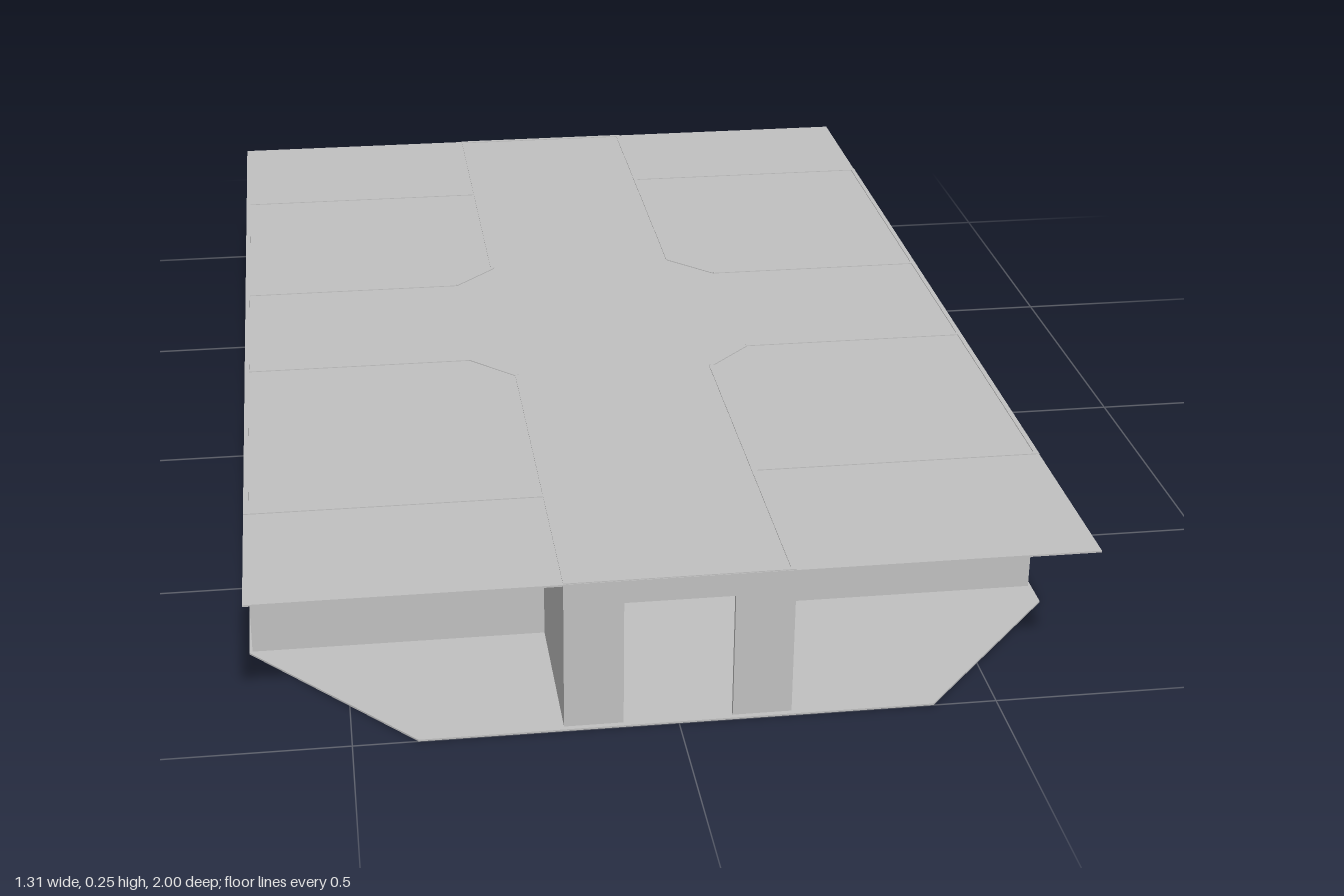
import * as THREE from 'three';

const HEIGHT = 0.254, THICK = 0.008;
const concrete = new THREE.MeshStandardMaterial({ color: 0xc0c0c0 });

function add(parent, name, geometry, x = 0, y = 0, z = 0) {
  const mesh = new THREE.Mesh(geometry, concrete);
  mesh.name = name;
  mesh.position.set(x, y, z);
  parent.add(mesh);
  return mesh;
}

// Upright wall between two plan points; doors are [start, end, height] along it
function wall(parent, name, [x1, z1], [x2, z2], doors = []) {
  const length = Math.hypot(x2 - x1, z2 - z1);
  const s = new THREE.Shape();
  s.moveTo(0, 0);
  for (const [a, b, h] of doors) {
    s.lineTo(a, 0);
    s.lineTo(a, h);
    s.lineTo(b, h);
    s.lineTo(b, 0);
  }
  s.lineTo(length, 0);
  s.lineTo(length, HEIGHT);
  s.lineTo(0, HEIGHT);
  const geometry = new THREE.ExtrudeGeometry(s, { depth: THICK, bevelEnabled: false });
  geometry.translate(0, 0, -THICK / 2);
  const mesh = add(parent, name, geometry, x1, 0, z1);
  mesh.rotation.y = -Math.atan2(z2 - z1, x2 - x1);
}

// One side of the plan; the other side is the same turned half a circle
function halfPlan() {
  const g = new THREE.Group();
  const out = 0.646, hall = 0.173, frontZ = 0.66, backZ = -0.708, cut = 0.25;

  // Outer wall with two doorways
  wall(g, 'outerWall', [out, frontZ + THICK / 2], [out, backZ - THICK / 2],
    [[0.159, 0.291, 0.175], [1.034, 1.166, 0.175]]);

  // End walls of the two rooms
  wall(g, 'roomFrontWall', [hall, frontZ], [out, frontZ]);
  wall(g, 'roomBackWall', [hall, backZ], [out, backZ]);

  // Long hall walls with room doorways
  wall(g, 'hallFrontWall', [hall, 0.992], [hall, cut], [[0.352, 0.482, 0.175]]);
  wall(g, 'hallBackWall', [hall, -cut], [hall, -0.992], [[0.05, 0.185, 0.175]]);

  // Cross hall walls and chamfered inner corners
  for (const s of [1, -1]) {
    wall(g, 'crossHallWall', [cut, s * hall], [out, s * hall]);
    wall(g, 'cornerWall', [hall, s * cut], [cut, s * hall]);
  }

  // Hall end wall with the main doorway
  wall(g, 'entranceWall', [-hall - THICK / 2, 0.988], [hall + THICK / 2, 0.988],
    [[hall + THICK / 2 - 0.085, hall + THICK / 2 + 0.085, 0.214]]);

  // Low counter in the cross hall
  add(g, 'counter', new THREE.BoxGeometry(0.08, 0.075, 0.28), 0.3, 0.0385, 0);
  return g;
}

export function createModel() {
  const model = new THREE.Group();
  model.name = 'building';

  // Floor with cut corners
  const x = 0.655, z = 1, cx = 0.4, cz = 0.715;
  const plan = new THREE.Shape([[cx, z], [x, cz], [x, -cz], [cx, -z], [-cx, -z], [-x, -cz], [-x, cz], [-cx, z]]
    .map(p => new THREE.Vector2(...p)));
  const floor = new THREE.ExtrudeGeometry(plan, { depth: 0.003, bevelEnabled: false });
  floor.rotateX(-Math.PI / 2);
  add(model, 'floor', floor);

  // Flat roof
  add(model, 'roof', new THREE.BoxGeometry(1.3, 0.003, 1.986), 0, 0.251, 0);

  // Walls
  for (const [name, turn] of [['leftHalf', 0], ['rightHalf', Math.PI]]) {
    const half = halfPlan();
    half.name = name;
    half.rotation.y = turn;
    model.add(half);
  }

  // Six-sided block in the middle of the halls
  const block = new THREE.CylinderGeometry(0.081, 0.081, 0.074, 6).toNonIndexed();
  block.computeVertexNormals();
  add(model, 'centreBlock', block, 0, 0.04, 0);
  return model;
}
